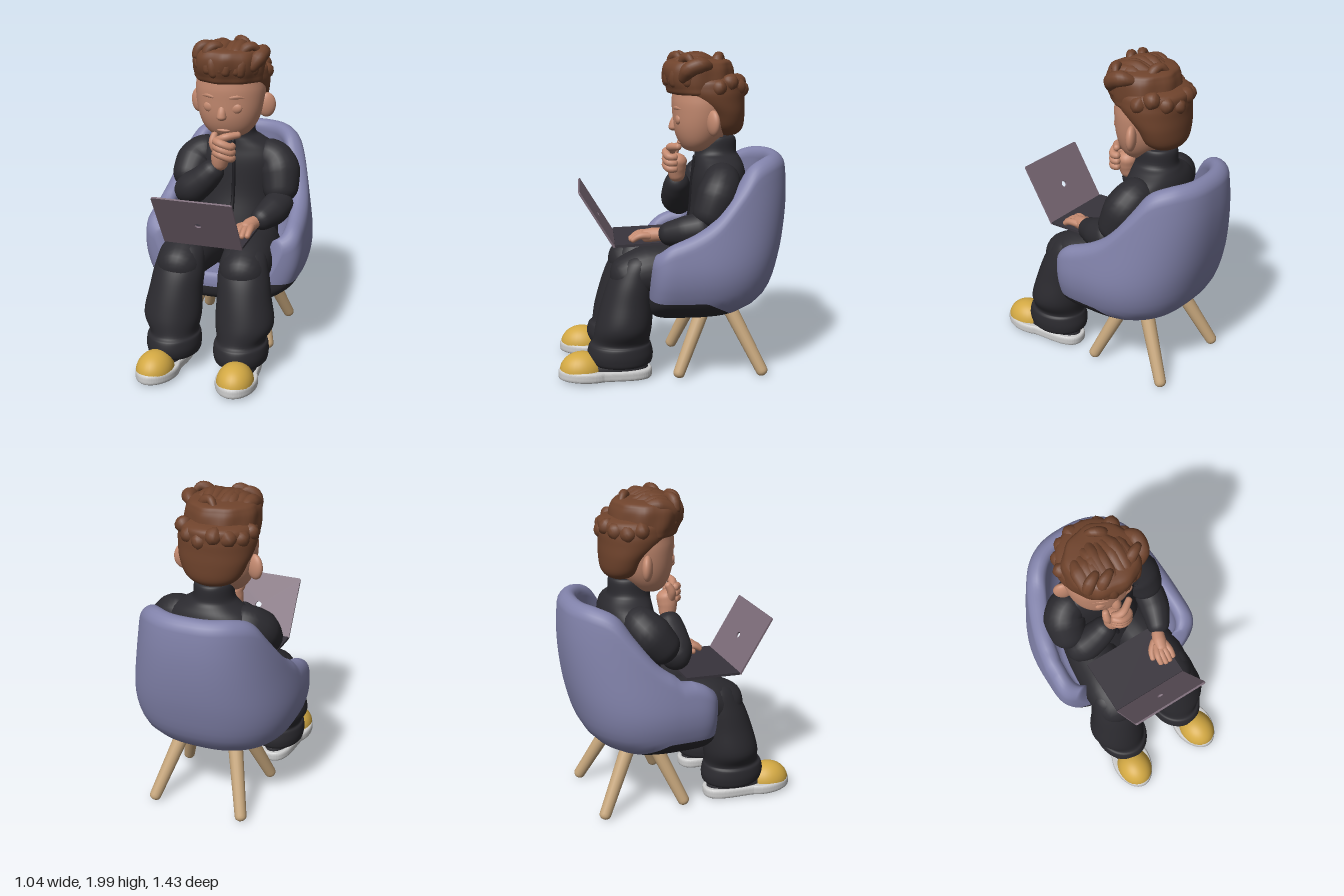
import * as THREE from 'three';

const DARK = 0x2b2a2f, SKIN = 0xc48a70, HAIR = 0x6f432c, SHELL = 0x8182aa, WOOD = 0xc6a67c;
const { lerp, clamp, smoothstep } = THREE.MathUtils;

function add(parent, name, geometry, color) {
  const mesh = new THREE.Mesh(geometry, new THREE.MeshStandardMaterial({ color, roughness: 0.8 }));
  mesh.name = name;
  parent.add(mesh);
  return mesh;
}

// Smooth skin over rows of points; every row is a closed ring
function skin(rows) {
  const n = rows[0].length, index = [];
  for (let i = 0; i < rows.length - 1; i++) for (let j = 0; j < n; j++) {
    const k = (j + 1) % n, a = i * n + j, b = i * n + k;
    index.push(a, a + n, b, b, a + n, b + n);
  }
  const g = new THREE.BufferGeometry();
  g.setAttribute('position', new THREE.Float32BufferAttribute(rows.flat(2), 3));
  g.setIndex(index);
  g.computeVertexNormals();
  return g;
}

const ring = (n, fn) => Array.from({ length: n }, (_, j) => fn((j / n) * Math.PI * 2));

// Horizontal ellipses [y, cx, cz, rx, rz] smoothed into a closed body
function loft(sections, ripple = () => 1, steps = 5) {
  const rows = [], n = sections.length - 1;
  const curves = [0, 1, 2, 3, 4].map(c => new THREE.SplineCurve(sections.map((s, i) => new THREE.Vector2(i, s[c]))));
  for (let i = 0; i <= n * steps; i++) {
    const [y, cx, cz, rx, rz] = curves.map(c => c.getPoint(i / (n * steps)).y);
    rows.push(ring(48, t => {
      const k = ripple(t, y);
      return [cx + Math.max(rx, 0) * k * Math.cos(t), y, cz + Math.max(rz, 0) * k * Math.sin(t)];
    }));
  }
  return skin(rows);
}

// Round-ended tapered tube through points, with radii spread evenly along it
function limb(points, radii, sides = 16, n = 28) {
  const curve = new THREE.CatmullRomCurve3(points.map(p => new THREE.Vector3(...p)));
  const f = curve.computeFrenetFrames(n, false), len = curve.getLength(), rows = [];
  for (let i = 0; i <= n; i++) {
    // rows bunch up at the ends to round them
    const u = 0.5 - 0.5 * Math.cos((i / n) * Math.PI), p = curve.getPointAt(u);
    const s = u * (radii.length - 1), k = Math.min(Math.floor(s), radii.length - 2);
    let r = lerp(radii[k], radii[k + 1], s - k);
    const e = Math.min(1, Math.min(u, 1 - u) * len / (r * 0.8));
    r *= Math.sqrt(Math.max(0, 1 - (1 - e) ** 2));
    const q = Math.round(u * n), N = f.normals[q], B = f.binormals[q];
    rows.push(ring(sides, t => p.clone().addScaledVector(N, r * Math.cos(t)).addScaledVector(B, -r * Math.sin(t)).toArray()));
  }
  return skin(rows);
}

function blob(parent, name, color, p, s, sweep = Math.PI) {
  const m = add(parent, name, new THREE.SphereGeometry(1, 28, 20, 0, Math.PI * 2, 0, sweep), color);
  m.position.set(...p);
  m.scale.set(...s);
  return m;
}

// Smooth lookup through [x, y] pairs
function table(rows, x) {
  const n = rows.length - 1, slope = i => {
    const a = rows[Math.max(i - 1, 0)], b = rows[Math.min(i + 1, n)];
    return (b[1] - a[1]) / (b[0] - a[0]);
  };
  const v = clamp(x, rows[0][0], rows[n][0]), i = Math.max(1, rows.findIndex(r => v <= r[0]));
  const [x0, y0] = rows[i - 1], [x1, y1] = rows[i], d = x1 - x0, t = (v - x0) / d;
  return y0 + (y1 - y0) * t * t * (3 - 2 * t) + d * t * (1 - t) * (slope(i - 1) * (1 - t) - slope(i) * t);
}

function buildChair(chair) {
  // Width, back and front reach of the shell by height
  const width = [[0.38, 0.48], [0.4, 0.62], [0.44, 0.76], [0.5, 0.89], [0.6, 0.97], [0.7, 1], [0.8, 0.99], [1.0, 0.93], [1.2, 0.87], [1.4, 0.82]];
  const back = [[0.38, 0.45], [0.4, 0.54], [0.44, 0.66], [0.55, 0.82], [0.75, 0.925], [0.95, 0.98], [1.15, 1], [1.3, 0.985], [1.4, 0.96]];
  const front = [[0.38, 0.82], [0.4, 0.92], [0.44, 0.98], [0.5, 1], [0.75, 1], [0.95, 0.97]];
  const rim = [[-0.72, 1.38], [-0.62, 1.37], [-0.5, 1.32], [-0.4, 1.2], [-0.25, 1.03], [-0.1, 0.94], [0.06, 0.88], [0.16, 0.8]];
  // Footprint: round at the back, squarer at the front; profile gives [inset, y, spread]
  const around = profile => ring(144, t => {
    const c = Math.cos(t), s = Math.sin(t), e = s > 0 ? 0.4 : 0.8;
    const x = 0.52 * Math.sign(c) * Math.abs(c) ** e, z = (s > 0 ? 0.265 : 0.615) * Math.sign(s) * Math.abs(s) ** e;
    let h = table(rim, z - 0.1);
    if (s > 0) h = Math.min(h, lerp(0.56, 0.92, smoothstep(Math.abs(x), 0.3, 0.49)));
    const edge = Math.min(h - 0.09, 0.41 + 0.12 * clamp((z + 0.4) / 0.3, 0, 1));
    const [inset, y, spread = 1] = profile(h, edge);
    const kz = s > 0 ? table(front, y) - inset : table(back, y) - inset * 0.85;
    return [x * (table(width, y) - inset) * spread, y, -0.1 + z * kz * spread];
  });
  const base = [around(() => [0, 0.38, 0])], shell = [];
  for (let i = 0; i <= 8; i++) base.push(around((h, e) => [0, lerp(0.38, e, i / 8)]));
  for (let i = 0; i <= 16; i++) shell.push(around((h, e) => [0, lerp(e, h - 0.07, i / 16)]));
  for (let i = 1; i <= 10; i++) {
    const a = (i / 10) * Math.PI;
    shell.push(around(h => [0.11 - 0.11 * Math.cos(a), h - 0.07 + 0.07 * Math.sin(a)]));
  }
  for (let i = 1; i <= 8; i++) shell.push(around(h => [0.22, lerp(h - 0.07, 0.48, i / 8)]));
  shell.push(around(() => [0, 0.48, 0]));
  add(chair, 'chairUnderside', skin(base), DARK);
  add(chair, 'chairShell', skin(shell), SHELL);
  for (const s of [1, -1]) for (const [z0, z1] of [[-0.2, -0.015], [-0.34, -0.56]])
    add(chair, 'chairLeg', limb([[s * 0.17, 0.44, z0], [s * 0.3, 0.005, z1]], [0.047, 0.036]), WOOD);
}

function buildLegs(body) {
  const sole = new THREE.Shape().moveTo(0, -0.28)
    .bezierCurveTo(0.12, -0.28, 0.09, -0.1, 0.1, 0.02).bezierCurveTo(0.15, 0.14, 0.08, 0.28, 0, 0.28)
    .bezierCurveTo(-0.08, 0.28, -0.15, 0.14, -0.1, 0.02).bezierCurveTo(-0.09, -0.1, -0.12, -0.28, 0, -0.28);
  for (const s of [1, -1]) {
    add(body, 'thigh', limb([[s * 0.14, 0.66, -0.32], [s * 0.18, 0.67, 0], [s * 0.2, 0.665, 0.17], [s * 0.21, 0.58, 0.38]], [0.15, 0.165, 0.16, 0.13], 24), DARK);
    add(body, 'trouserLeg', loft([[0.11, 0.22, 0.33, 0, 0], [0.09, 0.22, 0.33, 0.14, 0.165], [0.14, 0.22, 0.335, 0.168, 0.203], [0.21, 0.22, 0.335, 0.165, 0.193],
      [0.24, 0.22, 0.328, 0.15, 0.175], [0.34, 0.235, 0.312, 0.182, 0.174], [0.5, 0.222, 0.285, 0.168, 0.158],
      [0.64, 0.207, 0.25, 0.157, 0.14], [0.76, 0.2, 0.21, 0.12, 0.1], [0.81, 0.2, 0.2, 0, 0]]
      .map(([y, x, ...r]) => [y, s * x, ...r])), DARK);
    const shoe = new THREE.Group();
    shoe.name = 'shoe';
    shoe.position.set(s * 0.245, 0, 0.43);
    shoe.rotation.y = s * 0.09;
    body.add(shoe);
    const g = new THREE.ExtrudeGeometry(sole, { depth: 0.018, bevelSize: 0.012, bevelThickness: 0.022, bevelSegments: 5, curveSegments: 20 });
    add(shoe, 'sole', g.rotateX(Math.PI / 2).translate(0, 0.048, 0), 0xd4d4d6).rotation.x = -0.03;
    blob(shoe, 'shoeToe', 0xd2a843, [0, 0.06, 0.145], [0.114, 0.118, 0.137], Math.PI / 2);
    blob(shoe, 'shoeHeel', DARK, [0, 0.05, -0.06], [0.098, 0.13, 0.21], Math.PI / 2);
  }
}

function buildTorsoAndArms(body) {
  add(body, 'jacket', loft([[0.52, 0, -0.25, 0, 0], [0.56, 0, -0.25, 0.25, 0.22], [0.8, 0, -0.28, 0.27, 0.21], [1.0, 0, -0.3, 0.26, 0.185],
    [1.2, 0, -0.3, 0.29, 0.17], [1.29, 0, -0.3, 0.25, 0.155], [1.345, 0, -0.29, 0.165, 0.14], [1.38, -0.01, -0.28, 0.125, 0.13],
    [1.46, -0.01, -0.28, 0.115, 0.125], [1.475, -0.01, -0.28, 0.09, 0.09], [1.45, -0.01, -0.28, 0, 0]]), DARK);
  add(body, 'zip', limb([[0.01, 1.36, -0.15], [0.02, 1.2, -0.13], [0.02, 1.0, -0.115], [0.02, 0.85, -0.075]], [0.012, 0.012], 8), 0x1c1b20);
  // Right arm bent up to the chin, left arm reaching for the keys
  add(body, 'rightUpperArm', limb([[-0.12, 1.25, -0.3], [-0.25, 1.2, -0.26], [-0.3, 1.02, -0.1]], [0.1, 0.13, 0.1], 20), DARK);
  add(body, 'rightForearm', limb([[-0.32, 1.0, -0.13], [-0.25, 1.03, -0.07], [-0.14, 1.12, -0.05], [-0.05, 1.22, -0.05]], [0.09, 0.105, 0.09, 0.065], 20), DARK);
  add(body, 'leftUpperArm', limb([[0.12, 1.25, -0.3], [0.26, 1.2, -0.28], [0.32, 0.95, -0.18]], [0.1, 0.13, 0.1], 20), DARK);
  add(body, 'leftForearm', limb([[0.32, 0.97, -0.23], [0.3, 0.94, -0.09], [0.23, 0.9, 0.09]], [0.1, 0.095, 0.062], 20), DARK);

  // Fist with a finger and thumb against the chin
  add(body, 'rightPalm', limb([[-0.05, 1.18, -0.05], [-0.04, 1.26, -0.04], [-0.02, 1.36, -0.05]], [0.045, 0.06, 0.062]), SKIN);
  for (let i = 0; i < 3; i++) {
    const y = 1.275 + i * 0.037;
    add(body, 'rightCurledFinger', limb([[-0.07, y + 0.03, -0.01], [-0.02, y + 0.025, 0.03], [0.045, y, 0.01], [0.04, y, -0.04]], [0.025, 0.025, 0.022], 12), SKIN);
  }
  add(body, 'rightForefinger', limb([[-0.06, 1.37, -0.02], [0, 1.405, 0.005], [0.09, 1.42, -0.05]], [0.027, 0.025, 0.02], 12), SKIN);
  add(body, 'rightThumb', limb([[-0.06, 1.3, -0.03], [-0.085, 1.36, -0.03], [-0.08, 1.42, -0.06]], [0.028, 0.027, 0.02], 12), SKIN);

  add(body, 'leftPalm', limb([[0.235, 0.905, 0.05], [0.21, 0.9, 0.11], [0.185, 0.885, 0.2]], [0.038, 0.044, 0.04]), SKIN);
  for (let i = 0; i < 4; i++) {
    const x = 0.14 + i * 0.03;
    add(body, 'leftFinger', limb([[0.175 + i * 0.015, 0.895, 0.13], [x, 0.895, 0.21], [x - 0.003, 0.863, 0.28 - Math.abs(i - 1.5) * 0.012]], [0.026, 0.022, 0.016], 12), SKIN);
  }
  add(body, 'leftThumb', limb([[0.19, 0.89, 0.1], [0.13, 0.88, 0.15], [0.105, 0.865, 0.21]], [0.027, 0.022, 0.016], 12), SKIN);
}

function buildHead(head) {
  const cx = -0.025;
  add(head, 'face', loft([[1.375, cx, -0.16, 0, 0], [1.39, cx, -0.165, 0.1, 0.075], [1.44, cx, -0.175, 0.16, 0.125], [1.52, cx, -0.19, 0.198, 0.168],
    [1.62, cx, -0.2, 0.218, 0.188], [1.72, cx, -0.21, 0.22, 0.2], [1.82, cx, -0.22, 0.19, 0.18], [1.87, cx, -0.22, 0, 0]]), SKIN);
  add(head, 'nose', limb([[cx, 1.6, -0.04], [cx, 1.55, -0.022], [cx, 1.505, -0.018]], [0.02, 0.028, 0.034], 16), SKIN);
  blob(head, 'lowerLip', SKIN, [cx, 1.435, -0.062], [0.045, 0.014, 0.02]);
  for (const s of [1, -1]) {
    blob(head, 'eyelid', SKIN, [cx + s * 0.08, 1.585, -0.045], [0.045, 0.036, 0.022]);
    add(head, 'brow', limb([[cx + s * 0.045, 1.65, -0.022], [cx + s * 0.09, 1.657, -0.036], [cx + s * 0.14, 1.65, -0.066]], [0.012, 0.015, 0.011], 10), SKIN);
    const ear = blob(head, 'ear', SKIN, [cx + s * 0.225, 1.575, -0.24], [0.058, 0.078, 0.032]);
    ear.rotation.y = s * 0.45;
  }

  // Short sides and back, then the full swept top
  add(head, 'hairSides', loft([[1.48, cx, -0.35, 0, 0], [1.485, cx, -0.35, 0.09, 0.06], [1.53, cx, -0.335, 0.165, 0.115], [1.62, cx, -0.315, 0.208, 0.145],
    [1.7, cx, -0.265, 0.232, 0.195], [1.77, cx, -0.24, 0.235, 0.22], [1.84, cx, -0.24, 0.2, 0.2], [1.87, cx, -0.24, 0, 0]]), HAIR);
  add(head, 'hairTop', loft([[1.76, cx, -0.19, 0, 0], [1.735, cx, -0.2, 0.195, 0.19], [1.78, cx, -0.185, 0.222, 0.212], [1.85, cx, -0.17, 0.225, 0.22],
    [1.91, cx, -0.165, 0.215, 0.21], [1.945, cx, -0.17, 0.17, 0.17], [1.96, cx, -0.17, 0, 0]],
    (t, y) => 1 + 0.02 * Math.sin(t * 9 + y * 14) + 0.012 * Math.sin(t * 5 - y * 22)), HAIR);
  let seed = 7;
  const rand = () => (seed = (seed * 16807) % 2147483647) / 2147483647;
  for (let i = 0; i < 18; i++) {
    const a = -0.92 + 1.84 * i / 17, c = Math.sqrt(1 - a * a), from = -0.3 + rand() * 0.4, sway = 0.12 * (rand() - 0.4);
    const pts = [0, 0.33, 0.66, 1].map(k => {
      const p = from + k * (2 + rand() * 0.4);
      return [cx + 0.2 * a + sway * Math.sin(k * 3), 1.81 + 0.133 * Math.sin(p) * (0.6 + 0.4 * c), -0.17 + 0.195 * c * Math.cos(p)];
    });
    add(head, 'hairLock', limb(pts, [0.028, 0.048, 0.048, 0.022], 12), HAIR);
  }
  // Overlapping waves around the back
  for (let i = 0; i < 8; i++) {
    const a = Math.PI * (0.98 + 0.9 * i / 7), y = 1.765 + 0.05 * rand(), tilt = 0.06 * (rand() - 0.6);
    const pts = [-0.05, 0.2, 0.45].map((d, k) => [cx + 0.205 * Math.cos(a + d), y + tilt * k, -0.24 + 0.19 * Math.sin(a + d)]);
    add(head, 'backWave', limb(pts, [0.035, 0.055, 0.03], 12, 16), HAIR);
  }
  for (const [x, z, d] of [[-0.19, -0.05, 1], [-0.12, -0.02, 1], [0.09, -0.07, 1], [0.06, -0.28, -1]])
    add(head, 'tuft', limb([[x, 1.87, z], [x + d * 0.015, 1.945, z], [x + d * 0.06, 1.965, z - 0.02], [x + d * 0.1, 1.92, z - 0.05]], [0.04, 0.032, 0.016], 10), HAIR);
}

function buildLaptop(laptop) {
  laptop.position.set(-0.015, 0.83, 0.358);
  add(laptop, 'keyboardDeck', new THREE.BoxGeometry(0.495, 0.016, 0.355).translate(0, 0.004, -0.177), 0x38343c).rotation.x = 0.04;
  const shape = new THREE.Shape().moveTo(-0.2475, 0).lineTo(0.2475, 0).lineTo(0.2475, 0.39)
    .quadraticCurveTo(0.2475, 0.404, 0.233, 0.404).lineTo(-0.233, 0.404).quadraticCurveTo(-0.2475, 0.404, -0.2475, 0.39);
  shape.holes.push(new THREE.Path().absellipse(0.005, 0.19, 0.021, 0.019, 0, Math.PI * 2));
  add(laptop, 'lid', new THREE.ExtrudeGeometry(shape, { depth: 0.012, bevelEnabled: false }), 0x7c6b78).rotation.x = 0.547;
}

export function createModel() {
  const model = new THREE.Group();
  model.name = 'seatedFigure';
  for (const [name, build] of Object.entries({ chair: buildChair, legs: buildLegs, upperBody: buildTorsoAndArms, head: buildHead, laptop: buildLaptop })) {
    const part = new THREE.Group();
    part.name = name;
    build(part);
    model.add(part);
  }
  return model;
}
